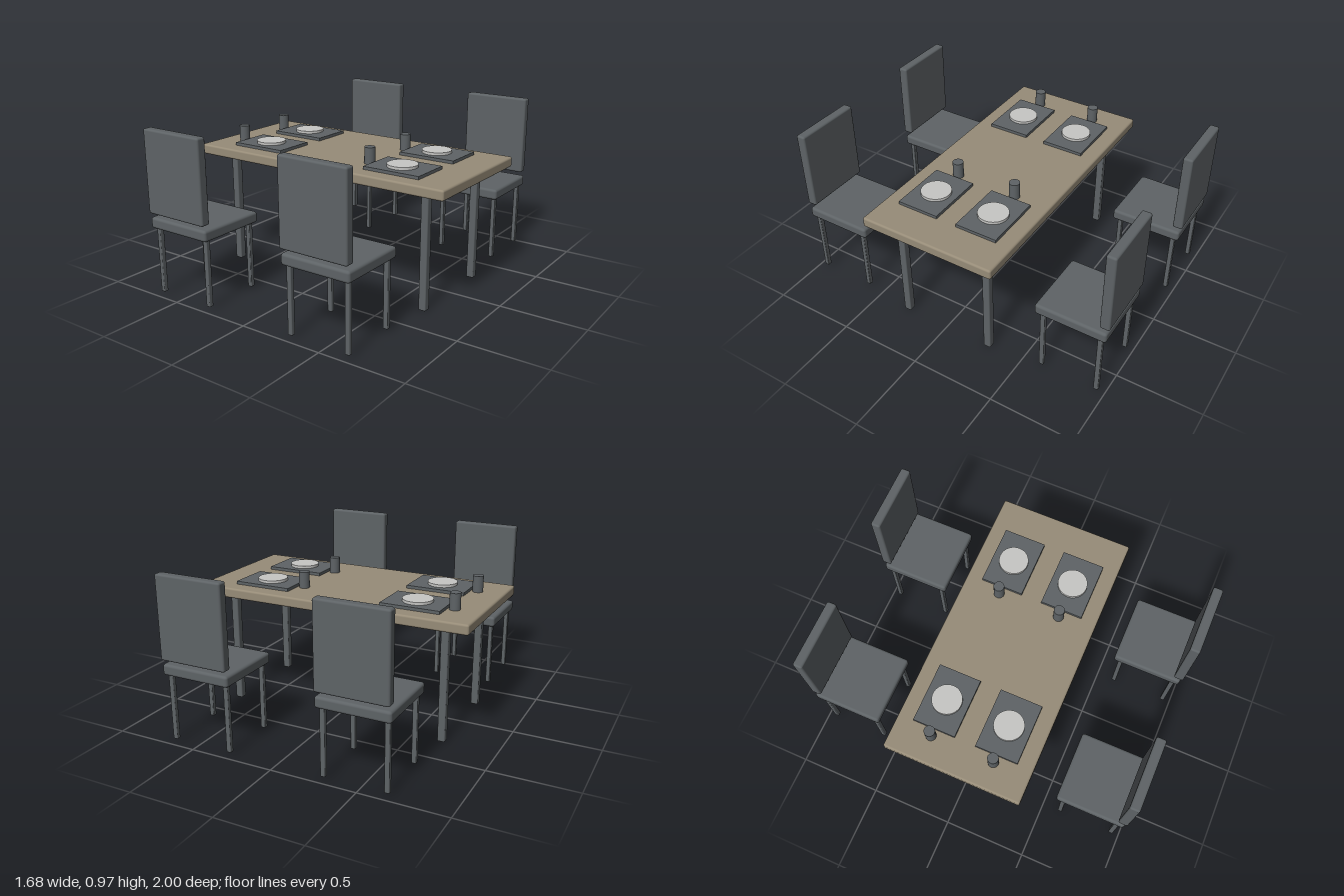
import * as THREE from 'three';
import { RoundedBoxGeometry } from 'three/addons/geometries/RoundedBoxGeometry.js';

const material = (name, color) => {
  const m = new THREE.MeshStandardMaterial({ color });
  m.name = name;
  return m;
};

export function createModel() {
  const grey = material('charcoal grey', 0x5e6366);
  const wood = material('pale wood', 0x978c78);
  const white = material('plate white', 0xc6c6c4);

  const add = (parent, name, geometry, mat, x, y, z) => {
    const mesh = new THREE.Mesh(geometry, mat);
    mesh.name = name;
    mesh.position.set(x, y, z);
    parent.add(mesh);
    return mesh;
  };
  const group = (parent, name) => {
    const g = new THREE.Group();
    g.name = name;
    if (parent) parent.add(g);
    return g;
  };
  const rounded = (w, h, d, r) => new RoundedBoxGeometry(w, h, d, 2, r);

  const model = group(null, 'diningSet');

  // Table: bevelled top on four square legs
  const table = group(model, 'table');
  add(table, 'tableTop', rounded(1.684, 0.06, 0.816, 0.012), wood, 0, 0.715, 0);
  const tableLeg = rounded(0.045, 0.69, 0.045, 0.007);
  for (const x of [-0.675, 0.675])
    for (const z of [-0.281, 0.281]) add(table, 'tableLeg', tableLeg, grey, x, 0.345, z);

  // Shared chair and place setting shapes
  const seat = rounded(0.42, 0.065, 0.418, 0.016);
  const backrest = rounded(0.411, 0.481, 0.058, 0.012);
  const chairLeg = rounded(0.028, 0.395, 0.028, 0.005);
  const mat = new THREE.BoxGeometry(0.352, 0.018, 0.252);
  const plate = new THREE.CylinderGeometry(0.087, 0.087, 0.016, 48);
  const cup = new THREE.CylinderGeometry(0.031, 0.031, 0.097, 24);

  for (const x of [-0.469, 0.467]) {
    for (const side of [1, -1]) {
      // Chair with its backrest on the outer side
      const chair = group(model, 'chair');
      chair.position.x = x;
      add(chair, 'seat', seat, grey, 0, 0.435, side * 0.779);
      add(chair, 'backrest', backrest, grey, 0, 0.734, side * 0.971);
      for (const lx of [-0.179, 0.179])
        for (const lz of [0.612, 0.949]) add(chair, 'chairLeg', chairLeg, grey, lx, 0.2125, side * lz);

      // Place setting: mat, plate and cup
      const setting = group(model, 'placeSetting');
      setting.position.set(x - 0.001, 0.745, side * 0.188);
      add(setting, 'placemat', mat, grey, 0, 0.009, 0);
      add(setting, 'plate', plate, white, 0, 0.026, 0);
      add(setting, 'cup', cup, grey, -0.216, 0.0475, 0);
    }
  }
  return model;
}
